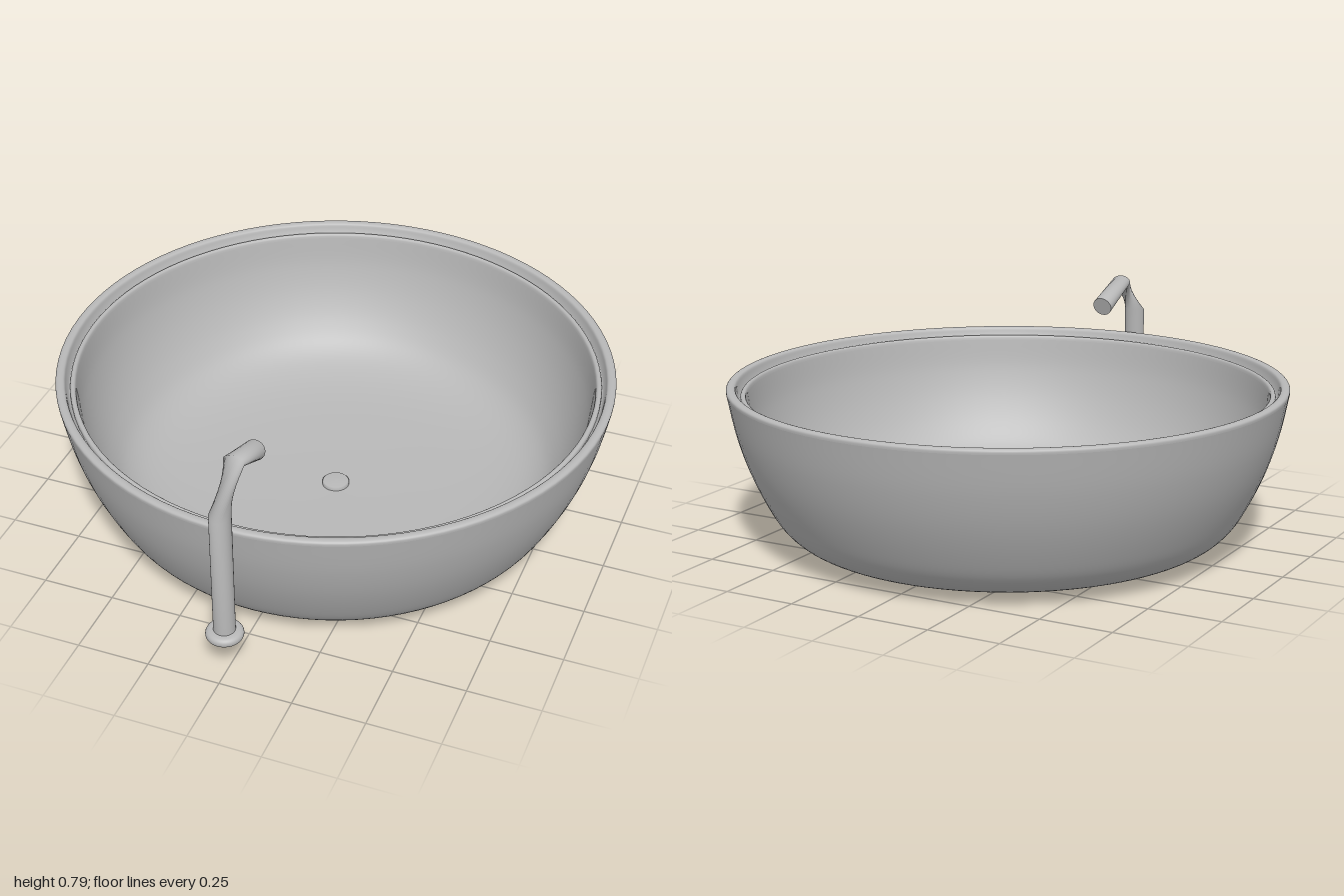
import * as THREE from 'three';

const grey = new THREE.MeshStandardMaterial({ color: 0xb8b8b8 });
grey.name = 'satin grey';

const BASIN_Z = -0.05;
const TAP_Z = 0.94;

function addMesh(parent, name, geometry) {
  const mesh = new THREE.Mesh(geometry, grey);
  mesh.name = name;
  parent.add(mesh);
  return mesh;
}

// Revolved profile; a smooth one is resampled along a spline
function lathe(points, smoothSteps = 0, sides = 96) {
  let pts = points.map(([r, y]) => new THREE.Vector2(r, y));
  if (smoothSteps) pts = new THREE.SplineCurve(pts).getPoints(smoothSteps);
  pts.forEach((p) => { p.x = Math.max(p.x, 0); });
  return new THREE.LatheGeometry(pts, sides);
}

// Elliptical ring across the tap: two opposite edge points (z, y), and a twist
function ring([z1, y1], [z2, y2], halfWidth, twist, sides) {
  const out = [];
  for (let i = 0; i < sides; i++) {
    const a = (i / sides) * Math.PI * 2 + twist;
    const c = Math.cos(a) / 2;
    out.push(
      Math.sin(a) * halfWidth,
      (y1 + y2) / 2 + c * (y1 - y2),
      (z1 + z2) / 2 + c * (z1 - z2)
    );
  }
  return out;
}

// Smooth tube through a list of rings, closed by a flat cap at the far end
function loft(rings) {
  const n = rings[0].length / 3;
  const last = rings[rings.length - 1];
  const pos = [...rings.flat(), ...last];
  const index = [];
  for (let k = 0; k < rings.length - 1; k++) {
    for (let i = 0; i < n; i++) {
      const a = k * n + i;
      const b = k * n + ((i + 1) % n);
      index.push(a, b, a + n, b, b + n, a + n);
    }
  }
  const cap = rings.length * n;
  for (let i = 1; i < n - 1; i++) index.push(cap, cap + i, cap + i + 1);
  const g = new THREE.BufferGeometry();
  g.setAttribute('position', new THREE.Float32BufferAttribute(pos, 3));
  g.setIndex(index);
  g.computeVertexNormals();
  return g;
}

export function createModel() {
  const model = new THREE.Group();
  model.name = 'basinWithTap';

  // Basin: outer shell, stepped rim and inner bowl
  const basin = new THREE.Group();
  basin.name = 'basin';
  basin.position.z = BASIN_Z;
  model.add(basin);

  addMesh(basin, 'outerShell', lathe([
    [0, 0.003], [0.3, 0.003], [0.5, 0.006], [0.635, 0.02], [0.722, 0.047],
    [0.786, 0.1], [0.838, 0.185], [0.89, 0.3], [0.928, 0.42], [0.955, 0.55],
  ], 48));
  addMesh(basin, 'rim', lathe([
    [0.955, 0.55], [0.955, 0.56], [0.948, 0.566], [0.936, 0.567], [0.926, 0.563], [0.922, 0.552],
  ], 16));
  addMesh(basin, 'rimGroove', lathe([[0.922, 0.552], [0.915, 0.525], [0.908, 0.525]]));
  addMesh(basin, 'innerLip', lathe([
    [0.908, 0.525], [0.907, 0.536], [0.899, 0.541], [0.891, 0.537], [0.888, 0.526],
  ], 12));
  addMesh(basin, 'innerBowl', lathe([
    [0.888, 0.526], [0.872, 0.42], [0.838, 0.31], [0.788, 0.21], [0.726, 0.135],
    [0.635, 0.088], [0.49, 0.062], [0.25, 0.05], [0, 0.046],
  ], 48));

  // Drain plug
  addMesh(basin, 'drain', lathe([
    [0.048, 0.04], [0.048, 0.055], [0.044, 0.059], [0, 0.06],
  ], 0, 32));

  // Tap: post, twisted neck and spout in one smooth tube
  const tap = new THREE.Group();
  tap.name = 'tap';
  model.add(tap);

  const sides = 32;
  const w = 0.036;
  const twist = Math.PI * 0.55;
  addMesh(tap, 'postAndSpout', loft([
    ring([0.977, 0.16], [0.905, 0.16], w, 0, sides),
    ring([0.977, 0.645], [0.905, 0.655], w, 0, sides),
    ring([0.825, 0.795], [0.82, 0.75], w, twist, sides),
    ring([0.653, 0.735], [0.675, 0.67], w, twist, sides),
  ]));

  // Rounded flange and short stub under the post
  const flange = addMesh(tap, 'flange', lathe([
    [0.036, 0.156], [0.052, 0.157], [0.061, 0.165], [0.061, 0.178], [0.052, 0.187], [0.035, 0.19],
  ], 20, 40));
  const stub = addMesh(tap, 'stub', new THREE.CylinderGeometry(0.036, 0.034, 0.014, 32));
  flange.position.z = TAP_Z;
  stub.position.set(0, 0.157, TAP_Z);

  return model;
}
